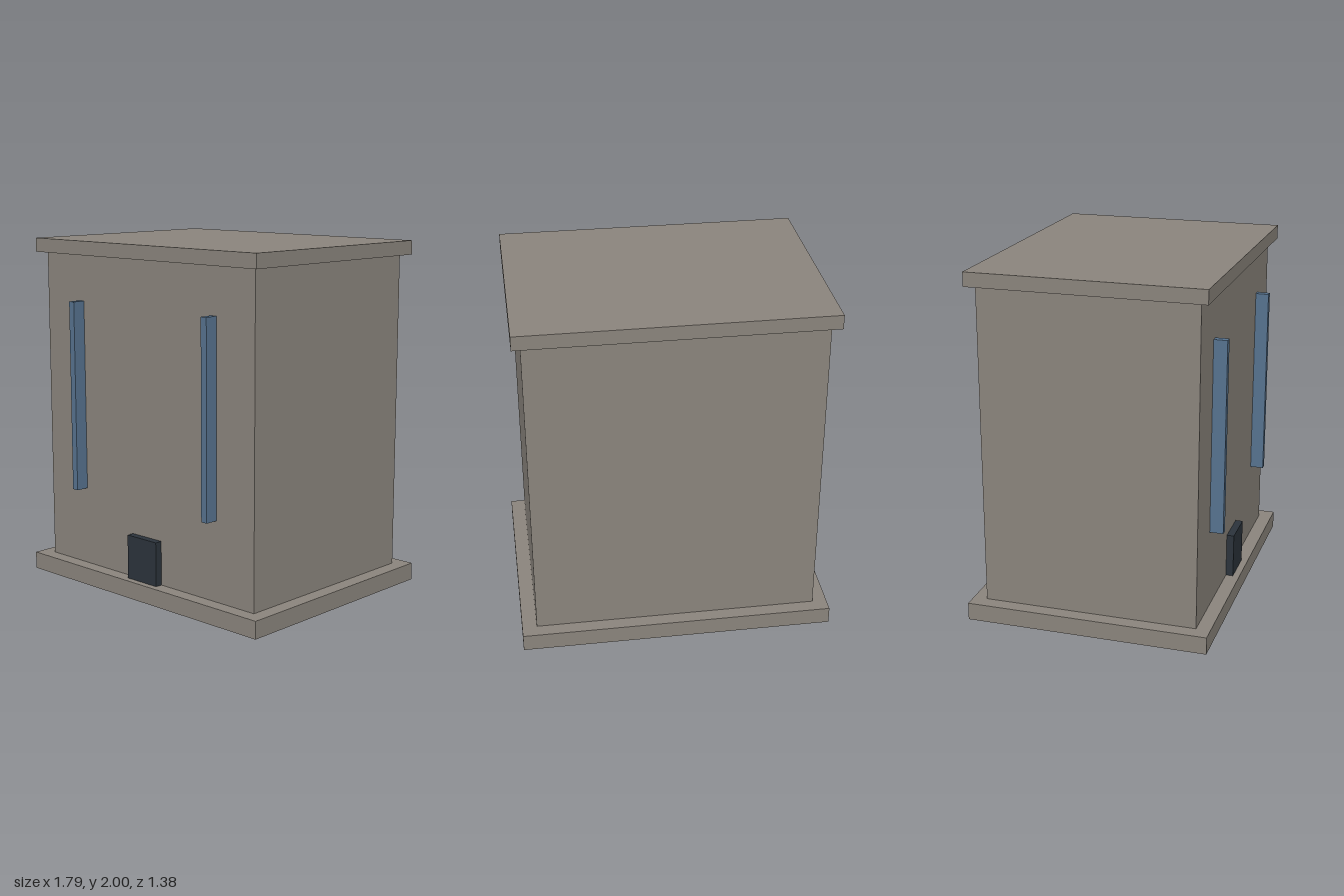
import * as THREE from 'three';

const material = (name, color) => {
  const m = new THREE.MeshStandardMaterial({ color });
  m.name = name;
  return m;
};

export function createModel() {
  const model = new THREE.Group();
  model.name = 'building';

  const stone = material('warm grey stone', 0x8a847c);
  const glass = material('blue glass', 0x56728e);
  const dark = material('dark door', 0x2b333b);

  // Box given by its half width and by its y and z ranges
  const box = (name, mat, halfWidth, [y0, y1], [z0, z1], x = 0) => {
    const mesh = new THREE.Mesh(new THREE.BoxGeometry(halfWidth * 2, y1 - y0, z1 - z0), mat);
    mesh.position.set(x, (y0 + y1) / 2, (z0 + z1) / 2);
    mesh.name = name;
    model.add(mesh);
  };

  // Plinth, walls and overhanging roof slab
  box('plinth', stone, 0.897, [0, 0.1], [-0.692, 0.692]);
  box('walls', stone, 0.813, [0.1, 1.92], [-0.612, 0.612]);
  box('roofSlab', stone, 0.861, [1.92, 2], [-0.66, 0.66]);

  // Door standing on the plinth
  box('door', dark, 0.115, [0.1, 0.355], [0.612, 0.654]);

  // Tall projecting window fins, one on each side of the door
  for (const side of [-1, 1]) {
    box(side > 0 ? 'leftWindowFin' : 'rightWindowFin', glass, 0.02, [0.555, 1.655], [0.612, 0.688], side * 0.522);
  }

  return model;
}
